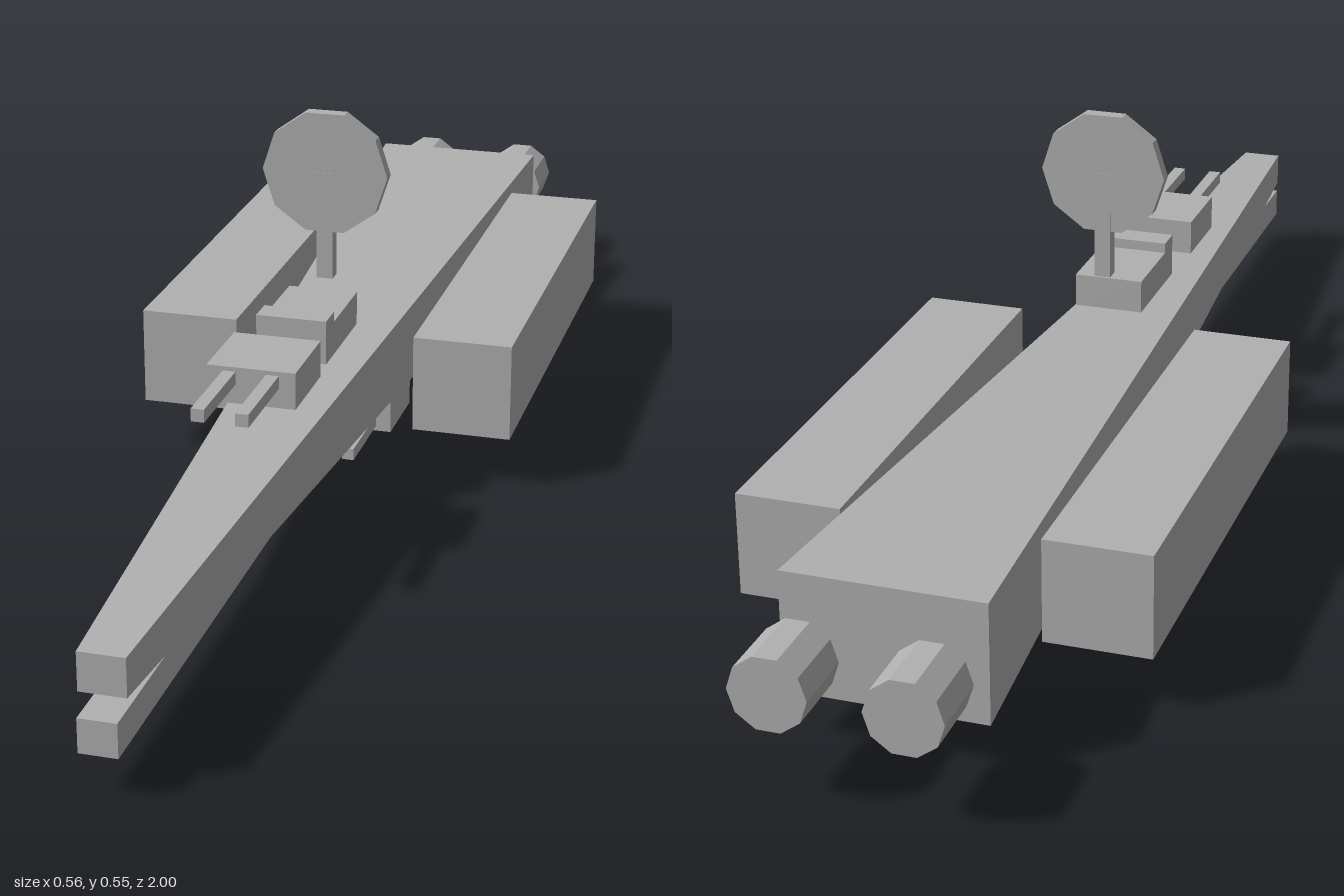
import * as THREE from 'three';

export function createModel() {
  const model = new THREE.Group();
  model.name = 'spaceship';
  const grey = new THREE.MeshStandardMaterial({ color: 0xb0b0b0, flatShading: true });
  grey.name = 'hull grey';

  const add = (name, geometry, parent = model) => {
    const mesh = new THREE.Mesh(geometry, grey);
    mesh.name = name;
    parent.add(mesh);
    return mesh;
  };
  // box given by its extents along each axis
  const box = (name, [x0, x1], [y0, y1], [z0, z1], parent) => {
    const mesh = add(name, new THREE.BoxGeometry(x1 - x0, y1 - y0, z1 - z0), parent);
    mesh.position.set((x0 + x1) / 2, (y0 + y1) / 2, (z0 + z1) / 2);
    return mesh;
  };
  // ten-sided drum lying along z, with corners at its left and right
  const drum = (name, radius, length, x, y, z) => {
    const g = new THREE.CylinderGeometry(radius, radius, length, 10, 1, false, Math.PI / 2);
    add(name, g.rotateX(Math.PI / 2)).position.set(x, y, z);
  };

  // hull: a box narrowing toward the nose
  const hull = new THREE.BoxGeometry(1, 1, 1);
  const p = hull.attributes.position;
  for (let i = 0; i < p.count; i++) {
    const nose = p.getZ(i) > 0;
    p.setXYZ(i,
      p.getX(i) * (nose ? 0.061 : 0.27),
      0.152 + p.getY(i) * (nose ? 0.052 : 0.166),
      nose ? 0.98 : -0.85);
  }
  hull.computeVertexNormals();
  add('hull', hull);

  // long gun under the nose
  box('noseGun', [-0.025, 0.025], [0.057, 0.103], [0.38, 1]);

  // side pods and engines
  for (const [side, s] of [['left', 1], ['right', -1]]) {
    const xs = [0.135 * s, 0.281 * s].sort((a, b) => a - b);
    box(side + 'Pod', xs, [0.08, 0.225], [-0.66, 0.04]);
    drum(side + 'Engine', 0.051, 0.094, 0.085 * s, 0.157, -0.953);
  }

  // bridge with a raised front step
  box('bridge', [-0.051, 0.051], [0.24, 0.289], [0.045, 0.21]);
  box('bridgeStep', [-0.051, 0.051], [0.289, 0.304], [0.17, 0.21]);

  // dish on its mast
  box('mast', [-0.012, 0.012], [0.303, 0.463], [0.015, 0.037]);
  drum('dish', 0.093, 0.02, 0, 0.463, 0.026);

  // twin-gun turrets above and below
  const turret = (name, bottom, gunBottom, back) => {
    const group = new THREE.Group();
    group.name = name;
    model.add(group);
    box('turretBody', [-0.062, 0.062], [bottom, bottom + 0.052], [back, back + 0.123], group);
    for (const x of [-0.03, 0.03]) {
      box('turretGun', [x - 0.009, x + 0.009], [gunBottom, gunBottom + 0.018],
        [back + 0.123, back + 0.258], group);
    }
  };
  turret('upperTurret', 0.25, 0.278, 0.277);
  turret('lowerTurret', 0, 0.008, -0.242);

  return model;
}
